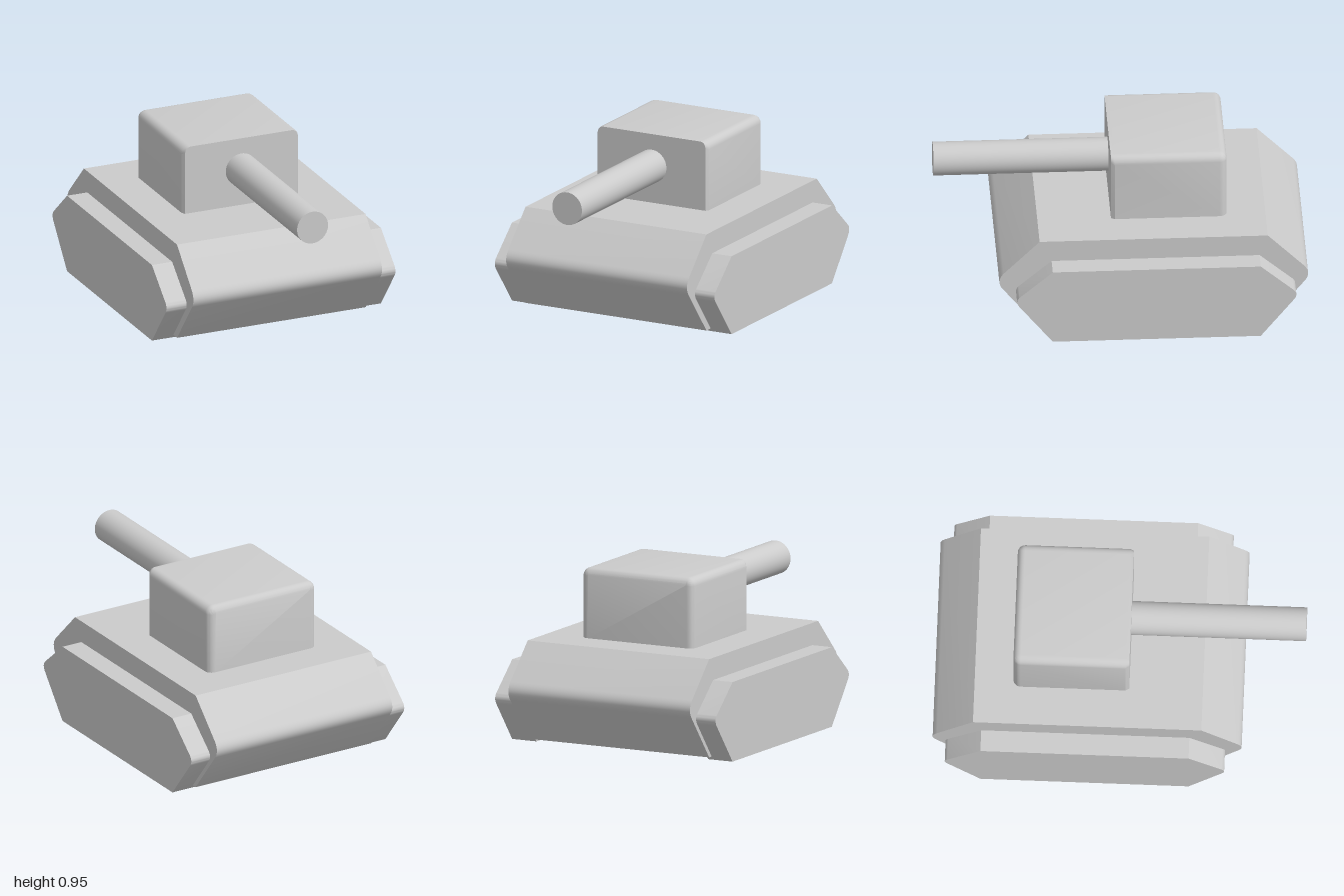
import * as THREE from 'three';
import { toCreasedNormals } from 'three/addons/utils/BufferGeometryUtils.js';

const material = new THREE.MeshStandardMaterial({ color: 0xcccccc });

function addMesh(group, name, geometry) {
  const mesh = new THREE.Mesh(geometry, material);
  mesh.name = name;
  group.add(mesh);
}

// Six-sided side profile with rounded noses, extruded across x from x0 to x1.
// half: half length of the flat top; upper and lower: where each nose rounding starts; nose: its corner.
function sideSlab({ zMid, half, bottom, top, upper, lower, nose, x0, x1 }) {
  const s = new THREE.Shape();
  s.moveTo(zMid - half, bottom);
  s.lineTo(zMid + half, bottom);
  s.lineTo(zMid + lower[0], lower[1]);
  s.quadraticCurveTo(zMid + nose[0], nose[1], zMid + upper[0], upper[1]);
  s.lineTo(zMid + half, top);
  s.lineTo(zMid - half, top);
  s.lineTo(zMid - upper[0], upper[1]);
  s.quadraticCurveTo(zMid - nose[0], nose[1], zMid - lower[0], lower[1]);
  s.closePath();
  const g = new THREE.ExtrudeGeometry(s, { depth: x1 - x0, bevelEnabled: false, curveSegments: 8 });
  g.rotateY(-Math.PI / 2).translate(x1, 0, 0);
  return toCreasedNormals(g, 0.5);
}

// Turret: loops with rounded upper corners, lofted from front to back
function turretGeometry() {
  const base = 0.56, top = 0.95, halfWidth = 0.345, radius = 0.045, steps = 6;
  const sections = [[0.05, 0.012, 0], [0.03, 0, 0]]; // z, side inset, top inset
  for (let i = 0; i <= steps; i++) {
    const a = (i / steps) * Math.PI / 2;
    const inset = 0.04 * (1 - Math.cos(a));
    sections.push([-0.54 - 0.04 * Math.sin(a), inset, inset]);
  }
  const positions = [], index = [];
  const n = 2 * (steps + 2);
  for (const [z, side, drop] of sections) {
    const hw = halfWidth - side, h = top - drop, r = radius - Math.max(side, drop);
    const right = [[hw, base]];
    for (let i = 0; i <= steps; i++) {
      const a = (i / steps) * Math.PI / 2;
      right.push([hw - r + r * Math.cos(a), h - r + r * Math.sin(a)]);
    }
    const left = right.map(([x, y]) => [-x, y]).reverse();
    for (const [x, y] of [...right, ...left]) positions.push(x, y, z);
  }
  const last = (sections.length - 1) * n;
  for (let k = 0; k < last; k += n) {
    for (let i = 0; i < n; i++) {
      const j = (i + 1) % n;
      index.push(k + i, k + n + i, k + j, k + j, k + n + i, k + n + j);
    }
  }
  // Front and back caps
  for (let i = 1; i < n - 1; i++) {
    index.push(0, i, i + 1, last, last + i + 1, last + i);
  }
  const g = new THREE.BufferGeometry();
  g.setAttribute('position', new THREE.Float32BufferAttribute(positions, 3));
  g.setIndex(index);
  return toCreasedNormals(g, 0.5);
}

export function createModel() {
  const group = new THREE.Group();
  group.name = 'tank';

  addMesh(group, 'hull', sideSlab({
    zMid: -0.17, half: 0.62, bottom: 0.02, top: 0.563,
    upper: [0.815, 0.368], lower: [0.82, 0.27], nose: [0.86, 0.32], x0: -0.56, x1: 0.56,
  }));

  // Tracks on both sides
  for (const [name, x0, x1] of [['leftTrack', 0.53, 0.68], ['rightTrack', -0.68, -0.53]]) {
    addMesh(group, name, sideSlab({
      zMid: -0.18, half: 0.565, bottom: 0, top: 0.44,
      upper: [0.745, 0.285], lower: [0.745, 0.225], nose: [0.772, 0.258], x0, x1,
    }));
  }

  addMesh(group, 'turret', turretGeometry());

  // Gun barrel, rooted inside the turret
  const barrel = new THREE.CylinderGeometry(0.092, 0.092, 1, 48);
  barrel.rotateX(Math.PI / 2).translate(0, 0.77, 0.5);
  addMesh(group, 'gunBarrel', barrel);

  return group;
}
